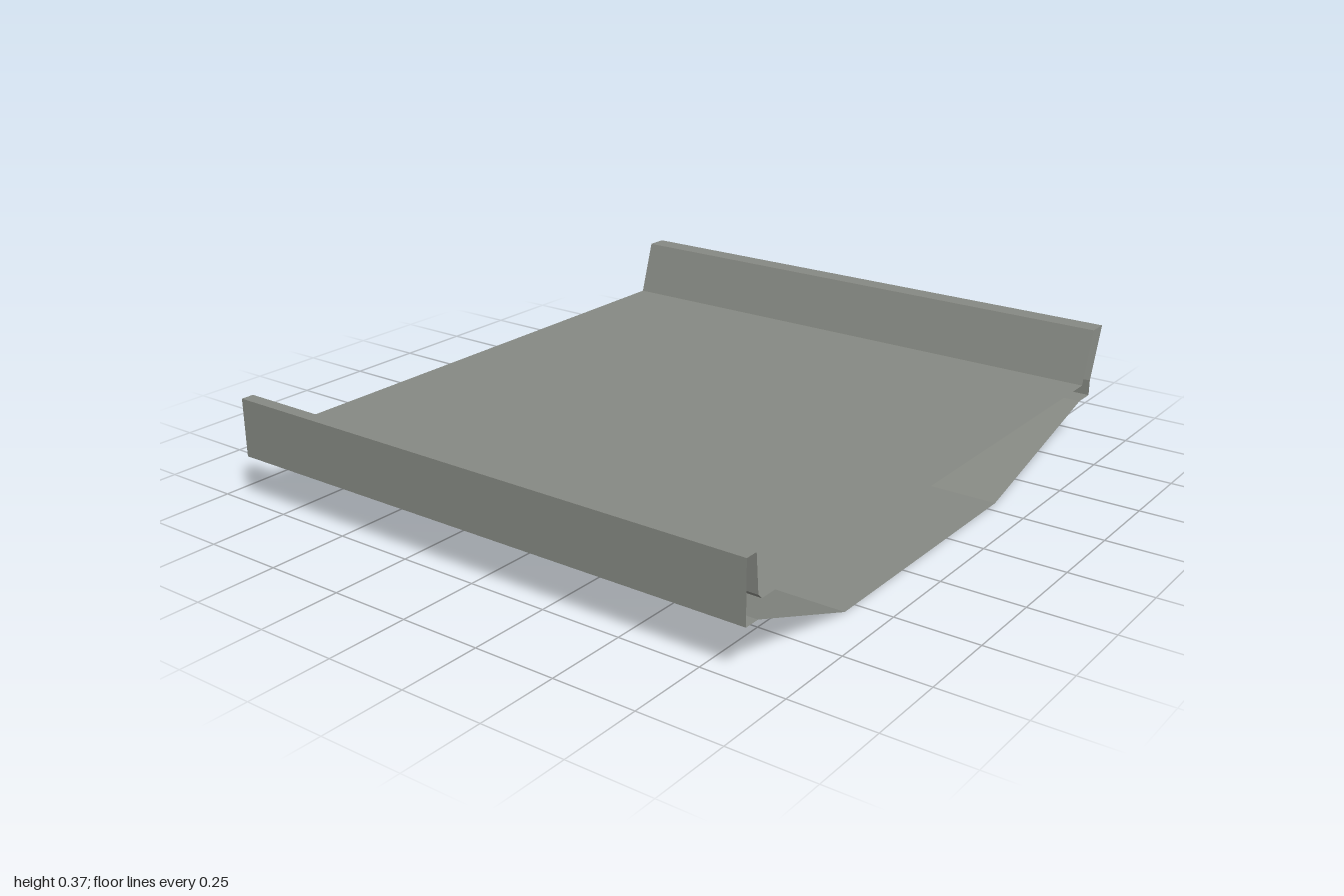
import * as THREE from 'three';

const HALF_LENGTH = 0.885;

// Open-ended sheet swept along z from a cross-section running counter-clockwise
function sheet(name, profile, material) {
  const positions = [];
  for (let i = 0; i < profile.length - 1; i++) {
    const [ax, ay] = profile[i];
    const [bx, by] = profile[i + 1];
    const f = HALF_LENGTH;
    positions.push(
      ax, ay, f, ax, ay, -f, bx, by, -f,
      ax, ay, f, bx, by, -f, bx, by, f,
    );
  }
  const geometry = new THREE.BufferGeometry();
  geometry.setAttribute('position', new THREE.Float32BufferAttribute(positions, 3));
  geometry.computeVertexNormals(); // unshared corners keep the facets flat
  const mesh = new THREE.Mesh(geometry, material);
  mesh.name = name;
  return mesh;
}

export function createModel() {
  const group = new THREE.Group();
  group.name = 'troughSection';

  const concrete = new THREE.MeshStandardMaterial({ color: 0x868983, side: THREE.DoubleSide });
  concrete.name = 'concrete grey';

  // Tapered belly with a flat lip under each wall
  group.add(sheet('underside', [
    [-1, 0.15], [-0.95, 0.15], [-0.55, 0], [0.3, 0], [0.87, 0.15], [0.94, 0.15],
  ], concrete));

  // Outward-leaning wall on the +x side
  group.add(sheet('leftWall', [
    [0.94, 0.15], [0.94, 0.2], [1, 0.37], [0.935, 0.37], [0.88, 0.2],
  ], concrete));

  // Flat road surface
  group.add(sheet('deck', [[0.88, 0.2], [-0.935, 0.2]], concrete));

  // Upright wall on the -x side with a small fillet at its foot
  group.add(sheet('rightWall', [
    [-0.935, 0.2], [-0.95, 0.215], [-0.96, 0.33], [-1, 0.33], [-1, 0.15],
  ], concrete));

  return group;
}
